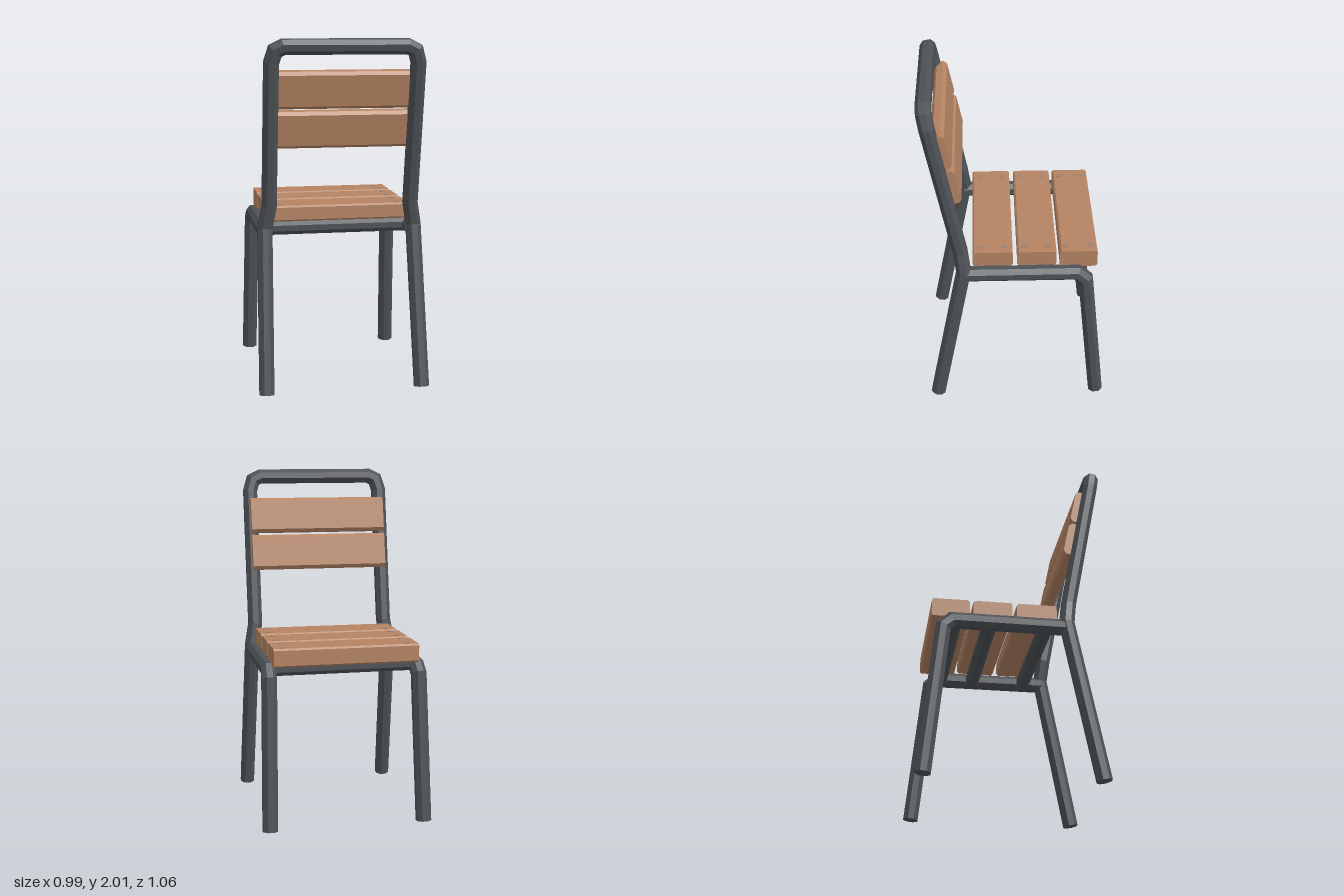
import * as THREE from 'three';

const V = (x, y, z) => new THREE.Vector3(x, y, z);

// Flat-faced octagonal tube along a polyline, with mitred corners and capped ends
function sweep(points, radius, side, sides = 8) {
  const pos = [], index = [], n = points.length;
  points.forEach((p, i) => {
    const a = i > 0 ? p.clone().sub(points[i - 1]).normalize() : null;
    const b = i < n - 1 ? points[i + 1].clone().sub(p).normalize() : null;
    const t = a && b ? a.clone().add(b).normalize() : (a || b);
    const dir = a || b;
    const stretch = 1 / Math.max(0.6, dir.dot(t));
    const ref = typeof side === 'function' ? side(i) : side;
    const u = ref.clone().addScaledVector(t, -ref.dot(t)).normalize();
    const v = t.clone().cross(u);
    for (let k = 0; k < sides; k++) {
      const ang = (k + 0.5) / sides * Math.PI * 2;
      const q = p.clone().addScaledVector(u, Math.cos(ang) * radius)
        .addScaledVector(v, Math.sin(ang) * radius * stretch);
      pos.push(q.x, q.y, q.z);
    }
  });
  for (let i = 0; i < n - 1; i++) for (let k = 0; k < sides; k++) {
    const a = i * sides + k, b = i * sides + (k + 1) % sides;
    index.push(a, b, b + sides, a, b + sides, a + sides);
  }
  const e = (n - 1) * sides;
  for (let k = 1; k < sides - 1; k++) index.push(0, k + 1, k, e, e + k, e + k + 1);
  const g = new THREE.BufferGeometry();
  g.setAttribute('position', new THREE.Float32BufferAttribute(pos, 3));
  g.setIndex(index);
  const flat = g.toNonIndexed();
  flat.computeVertexNormals();
  return flat;
}

// Board running along x, with chamfered long edges
function board(length, height, depth, c) {
  const h = height / 2, d = depth / 2;
  const s = new THREE.Shape([
    [-d + c, -h], [d - c, -h], [d, -h + c], [d, h - c],
    [d - c, h], [-d + c, h], [-d, h - c], [-d, -h + c],
  ].map(([x, y]) => new THREE.Vector2(x, y)));
  const g = new THREE.ExtrudeGeometry(s, { depth: length, bevelEnabled: false });
  return g.translate(0, 0, -length / 2).rotateY(-Math.PI / 2);
}

export function createModel() {
  const metal = new THREE.MeshStandardMaterial({ color: 0x4e5256 });
  metal.name = 'dark metal';
  const wood = new THREE.MeshStandardMaterial({ color: 0xb58463 });
  wood.name = 'wood';
  const bolt = new THREE.MeshStandardMaterial({ color: 0x9f8271 });
  bolt.name = 'bolt heads';

  const model = new THREE.Group();
  model.name = 'chair';
  const add = (name, geometry, material, x = 0, y = 0, z = 0) => {
    const m = new THREE.Mesh(geometry, material);
    m.name = name;
    m.position.set(x, y, z);
    model.add(m);
    return m;
  };

  // Back legs, posts and top bar as one bent tube
  const half = [
    V(-0.452, 0, 0.487), V(-0.434, 0.93, 0.308), V(-0.41, 1.06, 0.325),
    V(-0.41, 1.87, 0.478), V(-0.39, 1.935, 0.49), V(-0.345, 1.957, 0.494),
  ];
  const mirrored = half.map(p => V(-p.x, p.y, p.z)).reverse();
  add('backFrame', sweep([...half, ...mirrored], 0.045, V(0, -0.19, 1)), metal);

  // Side rails bending down into the front legs
  for (const s of [-1, 1]) {
    const path = [
      V(s * 0.43, 0.905, 0.31), V(s * 0.432, 0.905, -0.345),
      V(s * 0.436, 0.86, -0.395), V(s * 0.452, 0, -0.484),
    ];
    add(s > 0 ? 'leftRailAndLeg' : 'rightRailAndLeg', sweep(path, 0.046, V(1, 0, 0)), metal);
  }

  // Crossbars under the seat
  for (const z of [-0.33, -0.13, 0.19]) {
    add('crossbar', sweep([V(-0.42, 0.908, z), V(0.42, 0.908, z)], 0.043, V(0, 0, 1)), metal);
  }

  // Seat slats with bolt heads: [near edge, far edge, underside]
  for (const [z0, z1, y0] of [[-0.46, -0.245, 0.937], [-0.225, 0, 0.952], [0.025, 0.255, 0.952]]) {
    const z = (z0 + z1) / 2, top = 1.044;
    add('seatSlat', board(0.836, top - y0, z1 - z0, 0.01), wood, 0, (y0 + top) / 2, z);
    for (const x of [-0.358, 0.358]) for (const dz of [-0.068, 0.068]) {
      add('bolt', new THREE.CylinderGeometry(0.018, 0.018, 0.003, 12), bolt, x, top + 0.0005, z + dz);
    }
  }

  // Backrest slats, leaning with the posts
  for (const [y, z] of [[1.72, 0.407], [1.497, 0.36]]) {
    const m = add('backSlat', board(0.836, 0.212, 0.075, 0.018), wood, 0, y, z);
    m.rotation.x = 0.2;
  }
  return model;
}
